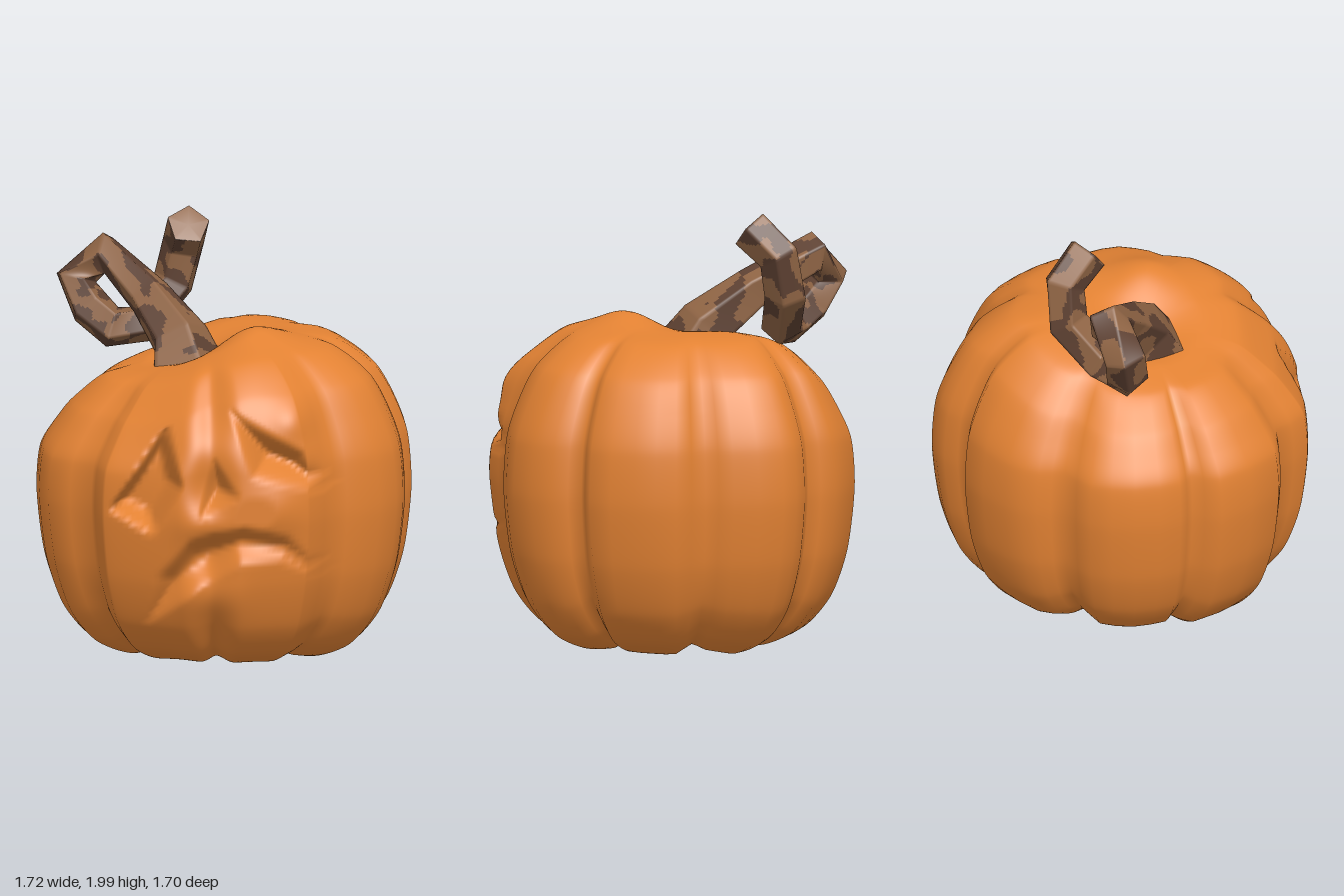
import * as THREE from 'three';

const { smoothstep } = THREE.MathUtils;
const skin = new THREE.MeshStandardMaterial({ color: 0xe38233 });
skin.name = 'orange skin';
const bark = new THREE.MeshStandardMaterial({ color: 0x8f6444 });
bark.name = 'light bark';
const darkBark = new THREE.MeshStandardMaterial({ color: 0x5e4132 });
darkBark.name = 'dark bark';

// Smooth grid of closed rings; pick(row, column) chooses the material group of each cell
function ringGrid(rows, cols, point, pick = () => 0) {
  const pos = [];
  const lists = [[], []];
  for (let i = 0; i <= rows; i++) {
    for (let j = 0; j < cols; j++) pos.push(...point(i, j).toArray());
  }
  for (let i = 0; i < rows; i++) {
    for (let j = 0; j < cols; j++) {
      const k = (j + 1) % cols;
      const a = i * cols + j, b = i * cols + k, c = b + cols, d = a + cols;
      lists[pick(i, j)].push(a, b, c, a, c, d);
    }
  }
  const geo = new THREE.BufferGeometry();
  geo.setAttribute('position', new THREE.Float32BufferAttribute(pos, 3));
  geo.setIndex([...lists[0], ...lists[1]]);
  geo.addGroup(0, lists[0].length, 0);
  geo.addGroup(lists[0].length, lists[1].length, 1);
  geo.computeVertexNormals();
  return geo;
}

// Distance inside a polygon (negative outside)
function insideDistance(poly, x, y) {
  let best = Infinity, inside = false;
  poly.forEach(([ax, ay], i) => {
    const [bx, by] = poly[(i + 1) % poly.length];
    const dx = bx - ax, dy = by - ay;
    const t = Math.min(1, Math.max(0, ((x - ax) * dx + (y - ay) * dy) / (dx * dx + dy * dy)));
    best = Math.min(best, Math.hypot(x - ax - t * dx, y - ay - t * dy));
    if ((ay > y) !== (by > y) && x < ax + (y - ay) * dx / dy) inside = !inside;
  });
  return inside ? best : -best;
}

// Lobed outline seen from above: x, z
const outline = [
  [0.05, -0.85], [-0.22, -0.81], [-0.35, -0.72], [-0.41, -0.61], [-0.58, -0.58], [-0.72, -0.42],
  [-0.79, -0.22], [-0.75, -0.13], [-0.86, -0.04], [-0.82, 0.3], [-0.63, 0.43], [-0.59, 0.61],
  [-0.25, 0.8], [-0.1, 0.77], [0.05, 0.84], [0.36, 0.77], [0.48, 0.62], [0.6, 0.58], [0.77, 0.44],
  [0.82, 0.22], [0.75, 0.1], [0.86, 0], [0.84, -0.22], [0.77, -0.4], [0.61, -0.47], [0.58, -0.6],
  [0.43, -0.78], [0.28, -0.81], [0.15, -0.76],
];
// Outline scale and height from the bottom up to the stem dent
const profile = [
  [0, 0.17], [0.3, 0.1], [0.5, 0.02], [0.72, 0.09], [0.87, 0.24], [0.96, 0.46], [1, 0.75],
  [0.98, 1.0], [0.91, 1.17], [0.81, 1.32], [0.62, 1.45], [0.4, 1.48], [0.2, 1.45], [0, 1.4],
];

// Carved face: polygon, depth, edge softness
const carvings = [
  { poly: [[-0.54, 0.8], [-0.3, 1.16], [-0.24, 0.92], [-0.36, 0.71]], depth: 0.17, soft: 0.05 },
  { poly: [[0, 1.26], [0.2, 1.14], [0.33, 1.07], [0.45, 0.89], [0.1, 0.98]], depth: 0.16, soft: 0.12 },
  { poly: [[-0.08, 1.04], [-0.14, 0.8], [0.02, 0.88]], depth: 0.07, soft: 0.06 },
  {
    poly: [[-0.38, 0.26], [-0.33, 0.5], [-0.2, 0.66], [0.05, 0.74], [0.25, 0.68], [0.41, 0.5],
      [0.23, 0.59], [0.04, 0.58], [-0.14, 0.46]],
    depth: 0.09, soft: 0.09,
  },
];
// Raised face forms: x, y, radius, height
const bulges = [
  [-0.12, 0.75, 0.1, 0.06], [-0.1, 1.1, 0.12, 0.04], [0.2, 0.82, 0.13, 0.03], [0.28, 1.22, 0.1, 0.04],
  [-0.1, 0.4, 0.12, 0.04],
];

function pumpkinBody() {
  const ring = new THREE.CatmullRomCurve3(outline.map(([x, z]) => new THREE.Vector3(x, 0, z)), true, 'catmullrom', 0.4);
  const side = new THREE.CatmullRomCurve3(profile.map(([s, y]) => new THREE.Vector3(s, y, 0)), false, 'catmullrom', 0.4);
  // Coarse columns around the lobes, fine ones across the face
  const columns = [];
  outline.forEach((_, k) => {
    const parts = k >= 11 && k < 15 ? 16 : 2;
    for (let n = 0; n < parts; n++) columns.push(ring.getPoint((k + n / parts) / outline.length));
  });
  const rows = (profile.length - 1) * 12;
  return ringGrid(rows, columns.length, (i, j) => {
    const { x: s, y } = side.getPoint(i / rows);
    const p = columns[j].clone();
    const radius = p.length();
    const upper = smoothstep(y, 0.8, 1.4);
    const lower = 1 - smoothstep(y, 0.1, 0.5);
    // Ribs fade out towards the stem and the underside
    const fade = upper * (1 - smoothstep(s, 0.2, 0.75)) + lower * (1 - smoothstep(s, 0.1, 0.6));
    p.lerp(p.clone().setLength(0.82), fade).multiplyScalar(s);
    // Crown leans to the low side, with a hump beside the stem
    p.x -= 0.14 * upper * (1 - s) ** 2;
    p.y = y - 0.16 * upper * (1 - smoothstep(p.x, -0.5, 0.15));
    p.y += 0.07 * upper * Math.exp(-((p.x - 0.12) ** 2 + (p.z - 0.17) ** 2) / 0.03);
    // Grooves lift off the ground
    p.y += 0.4 * (0.85 - radius) * lower * smoothstep(s, 0.1, 0.5);
    if (p.z > 0.2) {
      const { x, y: h } = p;
      let push = 0;
      for (const { poly, depth, soft } of carvings) push -= depth * smoothstep(insideDistance(poly, x, h), -0.02, soft);
      for (const [bx, by, r, height] of bulges) push += height * Math.exp(-((x - bx) ** 2 + (h - by) ** 2) / (r * r));
      p.z = Math.min(p.z + push, 0.845);
    }
    return p;
  });
}

// Stem path: x, y, z, radius
const stemPath = [
  [-0.17, 1.27, 0.02, 0.2], [-0.21, 1.45, -0.06, 0.14], [-0.34, 1.61, -0.23, 0.105], [-0.52, 1.765, -0.44, 0.1],
  [-0.665, 1.65, -0.44, 0.1], [-0.6, 1.52, -0.39, 0.1], [-0.5, 1.44, -0.33, 0.1], [-0.36, 1.45, -0.36, 0.095],
  [-0.21, 1.62, -0.46, 0.1], [-0.165, 1.8, -0.45, 0.1], [-0.15, 1.92, -0.31, 0.1],
];

function stemGeometry() {
  const sides = 5, facet = 10, step = 18;
  const centres = stemPath.map(([x, y, z]) => new THREE.Vector3(x, y, z));
  const last = centres.length - 1;
  // Mitred pentagon at each bend
  const normal = new THREE.Vector3(1, 0, 0);
  const rings = centres.map((c, k) => {
    const tangent = new THREE.Vector3();
    if (k > 0) tangent.add(c.clone().sub(centres[k - 1]).normalize());
    if (k < last) tangent.add(centres[k + 1].clone().sub(c).normalize());
    tangent.normalize();
    normal.addScaledVector(tangent, -normal.dot(tangent)).normalize();
    const binormal = tangent.clone().cross(normal);
    return Array.from({ length: sides }, (_, n) => {
      const a = n / sides * Math.PI * 2, r = stemPath[k][3];
      return c.clone().addScaledVector(normal, r * Math.cos(a)).addScaledVector(binormal, r * Math.sin(a));
    });
  });
  const corner = (k, j) => {
    const n = Math.floor(j / facet);
    return rings[k][n].clone().lerp(rings[k][(n + 1) % sides], (j % facet) / facet);
  };
  const point = (i, j) => {
    // The extra last row closes the tip
    if (i > last * step) return centres[last].clone();
    const k = Math.min(Math.floor(i / step), last - 1);
    return corner(k, j).lerp(corner(k + 1, j), i / step - k);
  };
  // Irregular long bark patches
  const patch = (i, j) => {
    if (i >= last * step) return 0;
    const v = i / (last * step), a = j / (sides * facet) * Math.PI * 2;
    const n = Math.sin(2 * a + 11 * v + 1.5 * Math.sin(38 * v)) + 0.7 * Math.sin(3 * a - 33 * v + 1)
      + 0.4 * Math.sin(a + 61 * v) + 0.3 * Math.sin(5 * a + 95 * v);
    return n > 0.15 ? 1 : 0;
  };
  return ringGrid(last * step + 1, sides * facet, point, patch);
}

export function createModel() {
  const model = new THREE.Group();
  model.name = 'carvedPumpkin';
  const body = new THREE.Mesh(pumpkinBody(), skin);
  body.name = 'body';
  const stem = new THREE.Mesh(stemGeometry(), [bark, darkBark]);
  stem.name = 'stem';
  model.add(body, stem);
  return model;
}
